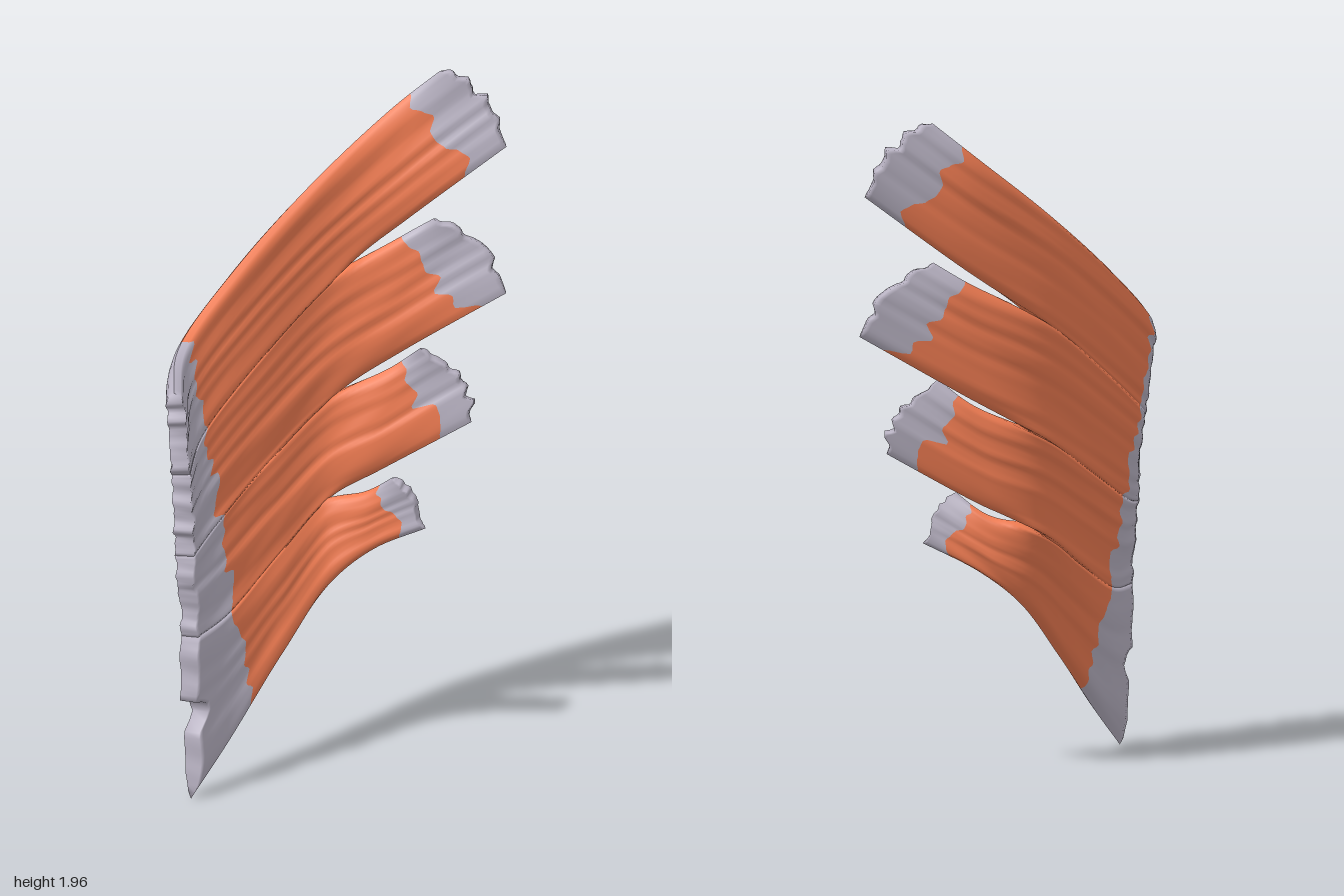
import * as THREE from 'three';

const V = (p) => new THREE.Vector3(...p);
const smooth = THREE.MathUtils.smoothstep;
const lerp = THREE.MathUtils.lerp;

// Seeded 1D value noise, -1..1
const hash = (n) => { const s = Math.sin(n * 127.1 + 3.7) * 43758.5453; return (s - Math.floor(s)) * 2 - 1; };
const noise = (x) => { const i = Math.floor(x); return lerp(hash(i), hash(i + 1), smooth(x - i, 0, 1)); };

// Fibre lines shared by neighbouring slips, from bottom to top: [x, y, z] from attachment to notch
const fibres = [
  [[-0.6, 0.02, 0.115], [-0.42, 0.15, 0.065], [-0.2, 0.34, 0.02], [0.02, 0.525, -0.01]],
  [[-0.59, 0.5, 0.09], [-0.4, 0.52, 0.01], [-0.16, 0.63, -0.06], [0.05, 0.75, -0.085]],
  [[-0.6, 0.74, 0.08], [-0.42, 0.78, -0.03], [-0.16, 0.9, -0.105], [0.1, 1.04, -0.125]],
  [[-0.6, 0.98, 0.07], [-0.45, 1.04, -0.06], [-0.17, 1.2, -0.14], [0.12, 1.38, -0.16]],
  [[-0.61, 1.23, 0.05], [-0.47, 1.31, -0.1], [-0.2, 1.49, -0.165], [0.1, 1.69, -0.178]],
];

// Free ends of each slip: lower edge, upper edge, and where its tendon starts on each
const slips = [
  { low: [[0.13, 0.62, 0.05], [0.22, 0.7, 0.185]], up: [[0.13, 0.79, 0.02], [0.16, 0.855, 0.12]], tendon: [0.92, 0.88] },
  { low: [[0.2, 0.83, -0.01], [0.425, 1.0, 0.19]], up: [[0.25, 1.13, -0.02], [0.3, 1.2, 0.06]], tendon: [0.92, 0.86] },
  { low: [[0.3, 1.16, -0.04], [0.565, 1.36, 0.175]], up: [[0.33, 1.5, -0.07], [0.4, 1.56, 0.0]], tendon: [0.93, 0.82] },
  { low: [[0.36, 1.55, -0.07], [0.61, 1.78, 0.11]], up: [[0.36, 1.87, -0.14], [0.48, 1.99, -0.05]], tendon: [0.91, 0.85] },
];

const ROWS = 28, SPLIT = [0, 12, 44, 54];

function buildSlip(k) {
  const { low, up, tendon } = slips[k];
  const lower = new THREE.CatmullRomCurve3([...fibres[k], ...low].map(V));
  const upper = new THREE.CatmullRomCurve3([...fibres[k + 1], ...up].map(V));

  // Middle surface, with a rounded outline at the tip
  const mid = (u, w) => {
    const p = lower.getPoint(u).lerp(upper.getPoint(u), w);
    const bulge = 4 * w * (1 - w) * smooth(u, 0.75, 1) * (k ? 0.03 : 0.012);
    return p.add(new THREE.Vector3(bulge, bulge * 0.8, 0));
  };

  // Half thickness: rounded at free edges, full where slips are joined
  const half = (u, w) => {
    const s = 2 * w - 1;
    const free = (s < 0 ? k === 0 : k === 3) ? 1 : smooth(u, 0.58, 0.75);
    const lens = Math.sqrt(Math.max(0, 1 - Math.abs(s) ** 5));
    return lerp(0.027, 0.015, smooth(u, 0.7, 1)) * lerp(1, lens, free);
  };

  // Ragged limits of tendon and muscle along the fibres
  const limits = (w) => {
    const v = k + w;
    const notch = k === 0 ? 0.055 * smooth(w, 0.38, 0.46) * (1 - smooth(w, 0.55, 0.6)) : 0;
    return [
      notch + 0.012 * (1 + noise(v * 9)),
      lerp(0.3, 0.225, smooth(v, 0, 0.9)) + 0.022 * noise(v * 11 + 5),
      lerp(tendon[0], tendon[1], w) + 0.025 * noise(w * 9 + k * 17),
      1 - 0.012 * (1 + noise(w * 12 + k * 31)),
    ];
  };

  const loop = 2 * (ROWS + 1), cols = SPLIT[3];
  const positions = [];
  for (let i = 0; i <= cols; i++) {
    const part = i < SPLIT[1] ? 0 : i < SPLIT[2] ? 1 : 2;
    const t = (i - SPLIT[part]) / (SPLIT[part + 1] - SPLIT[part]);
    for (let j = 0; j < loop; j++) {
      const front = j <= ROWS;
      const w = (front ? j : loop - 1 - j) / ROWS;
      const lim = limits(w);
      const u = lerp(lim[part], lim[part + 1], t);
      const e = 0.005;
      const u0 = Math.max(0, u - e), u1 = Math.min(1, u + e);
      const du = mid(u1, w).sub(mid(u0, w));
      const dw = mid(u, Math.min(1, w + e)).sub(mid(u, Math.max(0, w - e)));
      const n = du.cross(dw).normalize();
      // Fine ridges following the fibres
      const v = k + w, side = front ? 0 : 50;
      const ridge = 0.004 * noise(v * 13 + u * 3 + side) + 0.003 * noise(v * 5 - u * 5 + side);
      const h = half(u, w);
      const p = mid(u, w).addScaledVector(n, (front ? 1 : -1) * (h + ridge * Math.min(1, h / 0.02)));
      positions.push(p.x, p.y, p.z);
    }
  }

  // Skin for a range of columns, with caps at both ends of the slip
  const indices = (from, to) => {
    const out = [];
    const quad = (a, b, c, d) => out.push(a, b, c, a, c, d);
    for (let i = from; i < to; i++) {
      for (let j = 0; j < loop; j++) {
        const j2 = (j + 1) % loop, a = i * loop, b = a + loop;
        quad(a + j, b + j, b + j2, a + j2);
      }
    }
    for (let j = 0; j < ROWS; j++) {
      const r = loop - 1 - j, b = cols * loop;
      if (from === 0) quad(j, j + 1, r - 1, r);
      if (to === cols) quad(b + j, b + r, b + r - 1, b + j + 1);
    }
    return out;
  };

  // Normals come from the whole slip so colours meet without a seam
  const whole = new THREE.BufferGeometry();
  whole.setAttribute('position', new THREE.Float32BufferAttribute(positions, 3));
  whole.setIndex(indices(0, cols));
  whole.computeVertexNormals();
  return [0, 1, 2].map((part) => {
    const g = new THREE.BufferGeometry();
    g.setAttribute('position', whole.getAttribute('position'));
    g.setAttribute('normal', whole.getAttribute('normal'));
    g.setIndex(indices(SPLIT[part], SPLIT[part + 1]));
    return g;
  });
}

export function createModel() {
  const model = new THREE.Group();
  model.name = 'fanMuscle';
  const flesh = new THREE.MeshStandardMaterial({ color: 0xf07c52, side: THREE.DoubleSide });
  const tendon = new THREE.MeshStandardMaterial({ color: 0xb8b2c2, side: THREE.DoubleSide });
  const names = ['innerTendon', 'muscleBelly', 'tipTendon'];
  slips.forEach((_, k) => {
    const slip = new THREE.Group();
    slip.name = `muscleSlip${k + 1}`;
    buildSlip(k).forEach((geometry, part) => {
      const mesh = new THREE.Mesh(geometry, part === 1 ? flesh : tendon);
      mesh.name = names[part];
      slip.add(mesh);
    });
    model.add(slip);
  });
  return model;
}
